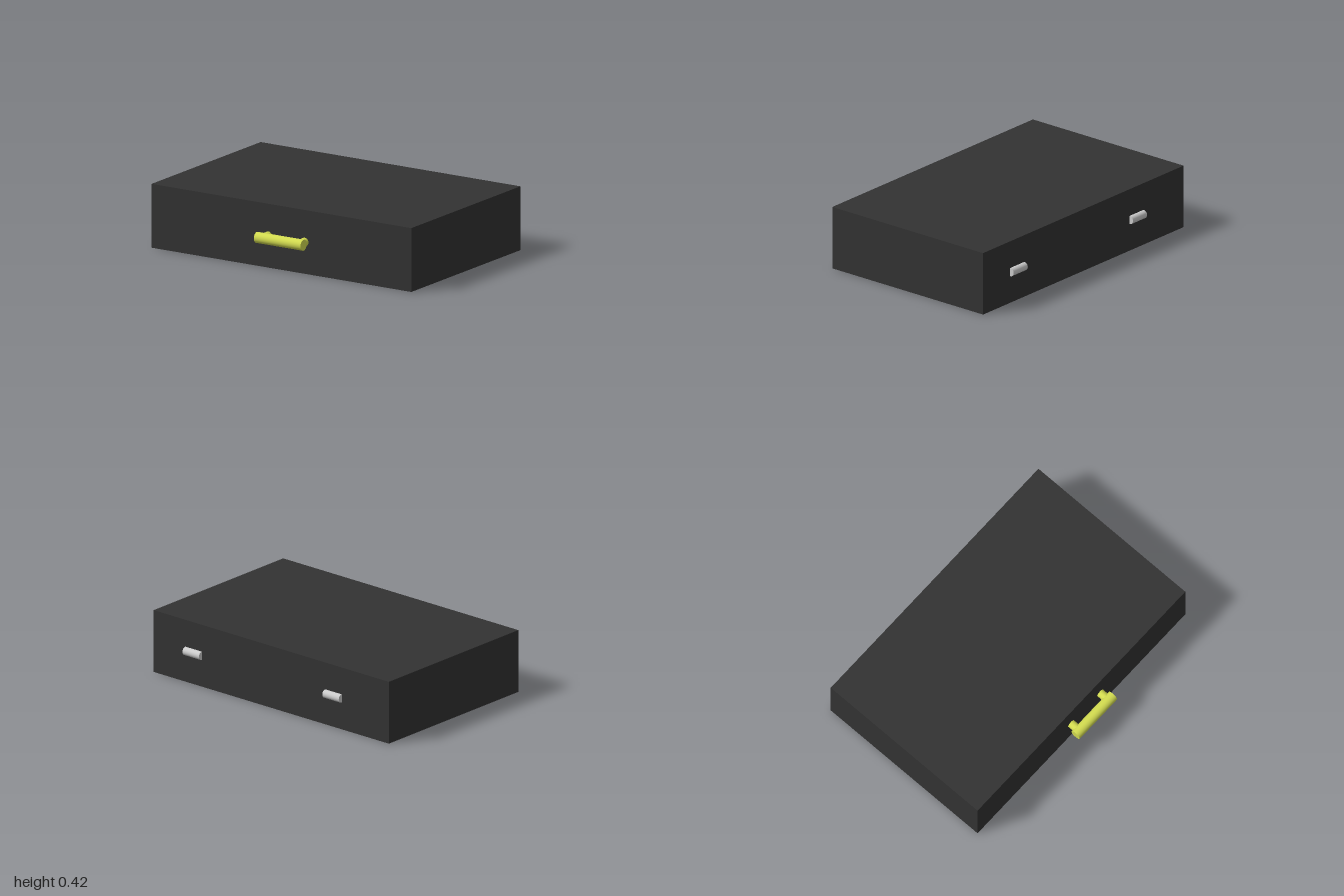
import * as THREE from 'three';

const CASE = { width: 2, half: 0.2115, depth: 1.26, z: -0.04 };
const MID = 0.2115; // height of the seam, handle and hinges

export function createModel() {
  const group = new THREE.Group();
  const dark = new THREE.MeshStandardMaterial({ color: 0x333333 });
  const yellow = new THREE.MeshStandardMaterial({ color: 0xd3dc50 });
  const grey = new THREE.MeshStandardMaterial({ color: 0xcccccc });

  const add = (name, geometry, material, x, y, z) => {
    const mesh = new THREE.Mesh(geometry, material);
    mesh.name = name;
    mesh.position.set(x, y, z);
    group.add(mesh);
    return mesh;
  };
  const rod = (radius, length) => new THREE.CylinderGeometry(radius, radius, length, 32);

  // Two equal case halves meeting at the seam
  const half = new THREE.BoxGeometry(CASE.width, CASE.half, CASE.depth);
  add('caseBottom', half, dark, 0, CASE.half / 2, CASE.z);
  add('caseLid', half, dark, 0, CASE.half * 1.5, CASE.z);

  // Handle bar on two short posts
  add('handleBar', rod(0.036, 0.36).rotateZ(Math.PI / 2), yellow, 0.04, MID, 0.664);
  const post = rod(0.028, 0.09).rotateX(Math.PI / 2);
  for (const side of [-1, 1]) add('handlePost', post, yellow, 0.04 + side * 0.14, MID, 0.62);

  // Hinge barrels half sunk into the back
  const hinge = rod(0.028, 0.14).rotateZ(Math.PI / 2);
  for (const x of [-0.53, 0.66]) add('hinge', hinge, grey, x, MID, -0.672);

  return group;
}
